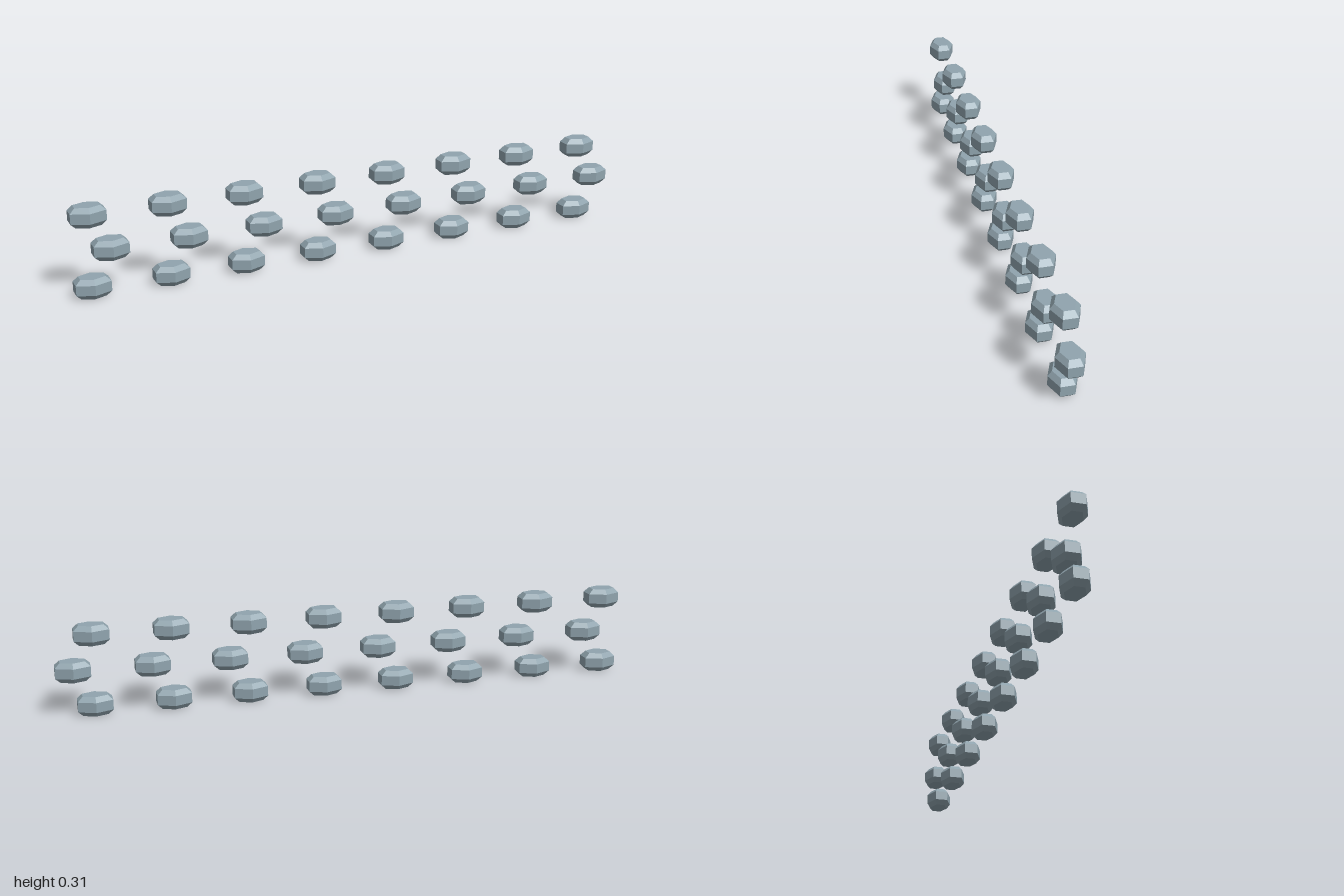
import * as THREE from 'three';

const COLUMNS = 8, PITCH = 0.26;
// Each row: height of the stone centres and x of the first stone
const ROWS = [
  { name: 'bottomRow', y: 0.0335, x: -0.943 },
  { name: 'middleRow', y: 0.154, x: -0.877 },
  { name: 'topRow', y: 0.274, x: -0.943 },
];

// Hexagonal stone with bevelled top and bottom, stretched along x
function stoneGeometry() {
  const r = 0.046, top = 0.0325, h = 0.0335, band = 0.017;
  const profile = [[0, -h], [top, -h], [r, -band], [r, band], [top, h], [0, h]]
    .map(([x, y]) => new THREE.Vector2(x, y));
  const geometry = new THREE.LatheGeometry(profile, 6).toNonIndexed();
  geometry.scale(0.0575 / (r * Math.sin(Math.PI / 3)), 1, 1);
  geometry.computeVertexNormals();
  return geometry;
}

export function createModel() {
  const model = new THREE.Group();
  model.name = 'stoneRows';
  const stoneGrey = new THREE.MeshStandardMaterial({ color: 0x90a4ae, flatShading: true });
  stoneGrey.name = 'stoneGrey';
  const geometry = stoneGeometry();

  // Three rows of stones, the middle one shifted sideways
  for (const { name, y, x } of ROWS) {
    const row = new THREE.Group();
    row.name = name;
    for (let i = 0; i < COLUMNS; i++) {
      const stone = new THREE.Mesh(geometry, stoneGrey);
      stone.name = 'stone';
      stone.position.set(x + i * PITCH, y, 0);
      row.add(stone);
    }
    model.add(row);
  }
  return model;
}
